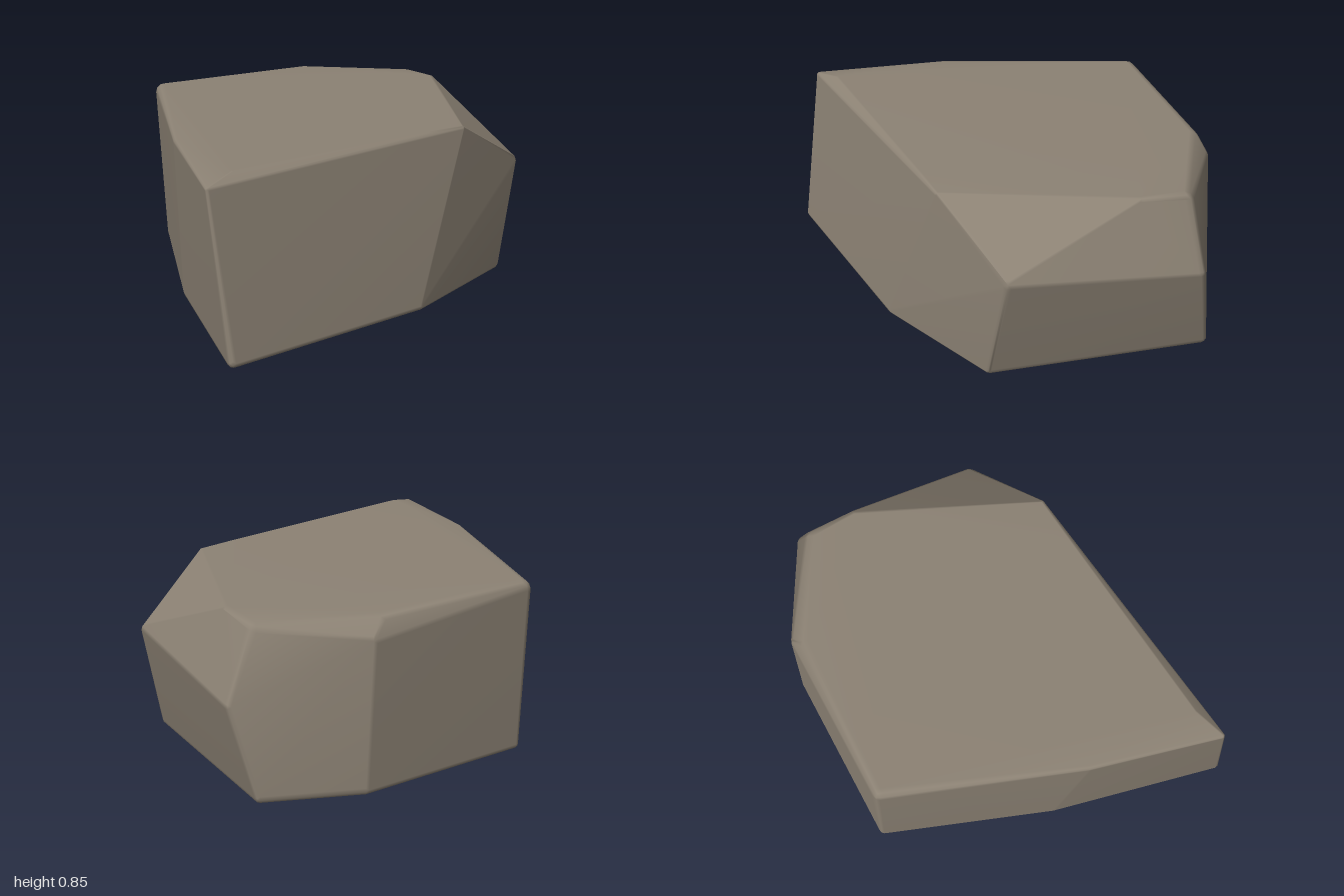
import * as THREE from 'three';
import { ConvexGeometry } from 'three/addons/geometries/ConvexGeometry.js';
import { mergeVertices } from 'three/addons/utils/BufferGeometryUtils.js';

// Rock corners: x, y, z and rounding radius
const corners = [
  // foot outline, from the front tip round the right side to the back
  [-0.95, 0, 0.84, 0.03],
  [0.13, 0, 0.715, 0.03],
  [0.78, 0, 0.43, 0.03],
  [0.9, 0, -0.63, 0.03],
  [0.45, 0, -0.843, 0.03],
  [-0.46, 0, -0.84, 0.03],
  [-0.77, 0, -0.01, 0.03],
  // knuckles on the chipped right side
  [0.905, 0.54, 0.38, 0.04],
  [0.996, 0.46, -0.55, 0.035],
  [0.41, 0.73, -0.843, 0.035],
  // top outline
  [-0.997, 0.82, 0.73, 0.015],
  [-0.85, 0.852, 0.67, 0.015],
  [0.24, 0.838, 0.58, 0.015],
  [0.46, 0.832, 0.56, 0.015],
  [0.85, 0.838, -0.3, 0.03],
  [0.86, 0.82, -0.54, 0.05],
  [0.35, 0.842, -0.82, 0.05],
  [-0.5, 0.85, -0.84, 0.045],
  [-0.85, 0.845, 0.1, 0.02],
];

// Hull around a small ball at every corner, giving softly worn edges
function roundedHull(list) {
  const points = [];
  for (const [x, y, z, r] of list) {
    const inset = 1 - r / Math.hypot(x, z);
    const lift = y === 0 ? r : y > 0.8 ? -r : 0;
    const centre = new THREE.Vector3(x * inset, y + lift, z * inset);
    const ball = new THREE.IcosahedronGeometry(r, 1).getAttribute('position');
    for (let i = 0; i < ball.count; i++) {
      points.push(new THREE.Vector3().fromBufferAttribute(ball, i).add(centre));
    }
  }
  const hull = new ConvexGeometry(points);
  hull.deleteAttribute('normal');
  const smooth = mergeVertices(hull, 1e-4);
  smooth.computeVertexNormals();
  return smooth;
}

export function createModel() {
  const group = new THREE.Group();
  group.name = 'rock';

  const stone = new THREE.MeshStandardMaterial({ color: 0x8c8274 });
  stone.name = 'warm grey stone';

  const slab = new THREE.Mesh(roundedHull(corners), stone);
  slab.name = 'stoneSlab';
  group.add(slab);
  return group;
}
